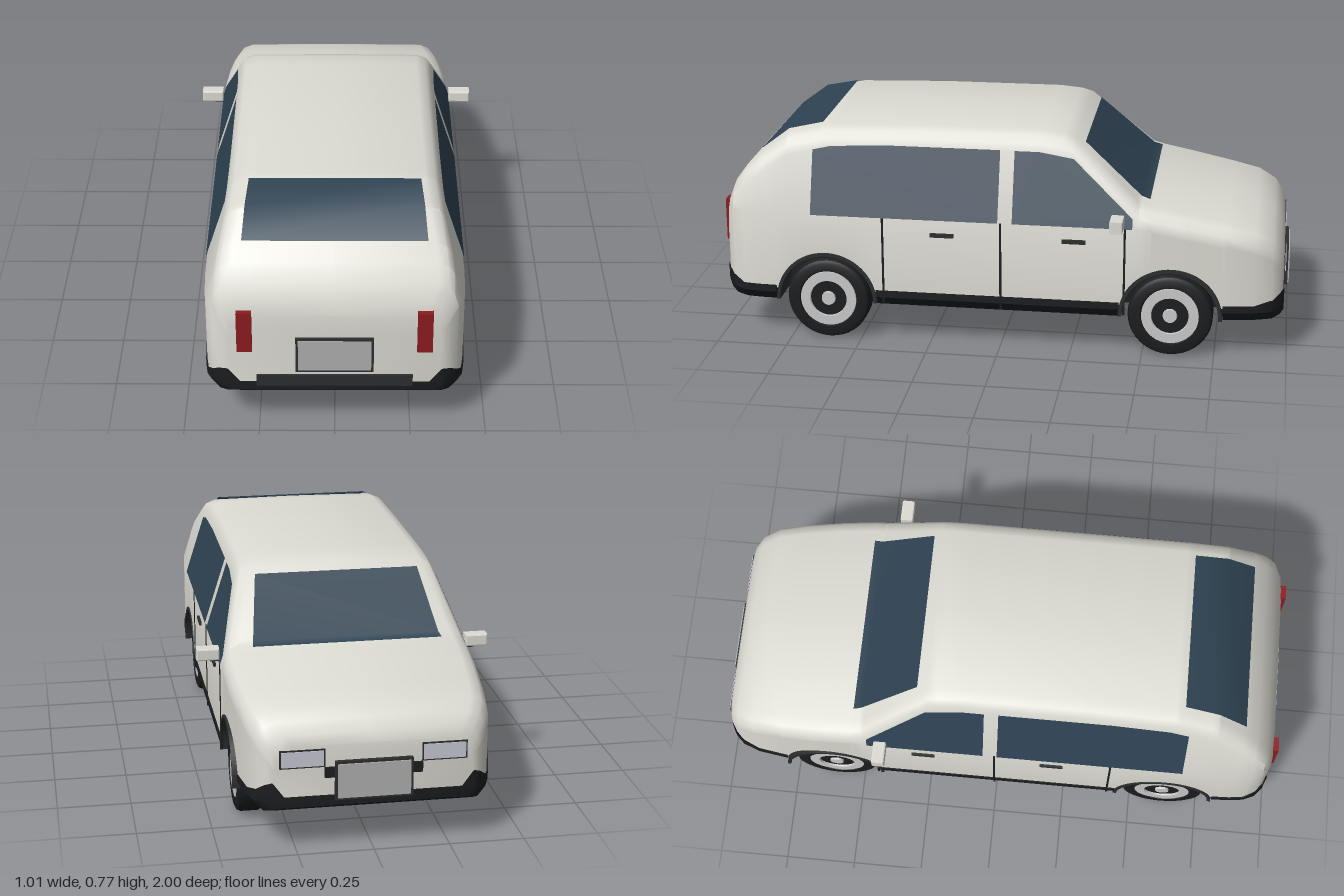
import * as THREE from 'three';
import { toCreasedNormals } from 'three/addons/utils/BufferGeometryUtils.js';

const mat = (color, side = THREE.FrontSide) => new THREE.MeshStandardMaterial({ color, side });
const paint = mat(0xdcdbd3), dark = mat(0x1c1d1f), trim = mat(0x2c2e2f), silver = mat(0xc4c4c6);
const glass = mat(0x2e4252, THREE.DoubleSide), red = mat(0x8e1c1f), plateGrey = mat(0xb0b0b0), lamp = mat(0xc8c8d4);

// Stations along the car: z, half width, bottom y, top y
const STATIONS = [
  [-0.98, 0.325, 0.16, 0.37], [-0.968, 0.35, 0.15, 0.405], [-0.94, 0.375, 0.14, 0.44], [-0.88, 0.398, 0.14, 0.47],
  [-0.78, 0.413, 0.14, 0.49], [-0.64, 0.424, 0.14, 0.517], [-0.52, 0.428, 0.14, 0.54], [-0.48, 0.428, 0.14, 0.552],
  [-0.25, 0.428, 0.14, 0.755], [-0.21, 0.428, 0.14, 0.768], [-0.13, 0.428, 0.14, 0.776], [0.3, 0.428, 0.14, 0.775],
  [0.62, 0.428, 0.14, 0.765], [0.76, 0.428, 0.14, 0.735], [0.86, 0.424, 0.14, 0.66], [0.91, 0.417, 0.14, 0.615],
  [0.95, 0.4, 0.145, 0.56], [0.975, 0.37, 0.155, 0.505], [0.985, 0.345, 0.165, 0.46],
];
const AXLES = [-0.595, 0.615], HUB_Y = 0.15, ARCH = 0.178;

function station(z) {
  let i = 0;
  while (i < STATIONS.length - 2 && z > STATIONS[i + 1][0]) i++;
  const a = STATIONS[i], b = STATIONS[i + 1], t = (z - a[0]) / (b[0] - a[0]);
  return a.map((v, k) => v + (b[k] - v) * t);
}
const archHeight = z => Math.max(0, ...AXLES.map(c => HUB_Y + Math.sqrt(Math.max(0, ARCH ** 2 - (z - c) ** 2))));
const inArch = z => AXLES.some(c => Math.abs(z - c) < ARCH - 0.0005);

// Skin closed mirrored sections (right halves listed bottom to top) and cap both ends
function loft(zs, half) {
  const rings = zs.map(z => {
    const h = half(z);
    return [...h, ...h.slice(1, -1).reverse().map(([x, y]) => [-x, y])].map(([x, y]) => new THREE.Vector3(x, y, z));
  });
  const n = rings[0].length, pos = [];
  const tri = (...p) => p.forEach(v => pos.push(v.x, v.y, v.z));
  for (let i = 0; i < rings.length - 1; i++) {
    for (let j = 0; j < n; j++) {
      const k = (j + 1) % n, a = rings[i], b = rings[i + 1];
      tri(a[j], a[k], b[k]);
      tri(a[j], b[k], b[j]);
    }
  }
  const cap = (ring, flip) => THREE.ShapeUtils.triangulateShape(ring.map(p => new THREE.Vector2(p.x, p.y)), [])
    .forEach(([a, b, c]) => flip ? tri(ring[a], ring[c], ring[b]) : tri(ring[a], ring[b], ring[c]));
  cap(rings[0], true);
  cap(rings[rings.length - 1], false);
  const g = new THREE.BufferGeometry();
  g.setAttribute('position', new THREE.Float32BufferAttribute(pos, 3));
  return toCreasedNormals(g, 0.6);
}

// Painted shell: upright sides, inward leaning windows, rounded roof edge
function shellSection(z) {
  const [, w, , top] = station(z);
  const lo = Math.max(0.19, archHeight(z)), belt = Math.min(0.47, top - 0.08), s = top - 0.07;
  const xs = w - Math.max(0, s - 0.47) * 0.32;
  return [[0, lo], [w, lo], [w, belt], [xs, s], [xs - 0.008, top - 0.042], [xs - 0.026, top - 0.017],
    [xs - 0.06, top - 0.003], [0, top]];
}
// Dark sill and bumpers, rising at the corners and narrowed behind the wheels
function sillSection(z) {
  const [, w, yb] = station(z);
  const x = inArch(z) ? 0.28 : w + 0.004;
  const rise = 0.2 + 0.05 * THREE.MathUtils.clamp((Math.abs(z) - 0.92) / 0.06, 0, 1);
  return [[0, yb], [x * 0.93, yb], [x, Math.min(yb + 0.035, 0.195)], [x, rise], [x * 0.88, 0.196], [0, 0.196]];
}

// Glass strip lying on the centre line of the shell; rows are [z, half width]
function centreGlass(rows, dz) {
  const g = new THREE.PlaneGeometry(1, 1, 1, rows.length - 1);
  rows.forEach(([z, w], i) => [-w, w].forEach((x, k) =>
    g.attributes.position.setXYZ(i * 2 + k, x, station(z)[3] + 0.005, z + dz)));
  g.computeVertexNormals();
  return g;
}
// Leaning side pane from a [z, y] outline
function sideGlass(outline, side) {
  const g = new THREE.ShapeGeometry(new THREE.Shape(outline.map(p => new THREE.Vector2(...p))));
  const p = g.attributes.position;
  for (let i = 0; i < p.count; i++) {
    const z = p.getX(i), y = p.getY(i);
    p.setXYZ(i, side * (0.432 - (y - 0.47) * 0.32), y, z);
  }
  if (side > 0) g.index.array.reverse();
  g.computeVertexNormals();
  return g;
}

function add(parent, name, geometry, material, x = 0, y = 0, z = 0) {
  const m = new THREE.Mesh(geometry, material);
  m.name = name;
  m.position.set(x, y, z);
  parent.add(m);
  return m;
}
const box = (parent, name, material, size, at) => add(parent, name, new THREE.BoxGeometry(...size), material, ...at);

// Lathe turned so that its axis is x; profile points are [radius, x]
const turned = profile => toCreasedNormals(
  new THREE.LatheGeometry(profile.map(p => new THREE.Vector2(...p)), 40).rotateZ(-Math.PI / 2), 0.6);

// Half disc, or half ring when inner > 0, extruded along x
function halfRound(outer, inner, x0, x1) {
  const s = new THREE.Shape();
  s.absarc(0, 0, outer, 0, Math.PI, false);
  if (inner > 0) s.absarc(0, 0, inner, Math.PI, 0, true);
  return new THREE.ExtrudeGeometry(s, { depth: x1 - x0, bevelEnabled: false, curveSegments: 24 })
    .rotateY(Math.PI / 2).translate(x0, 0, 0);
}

function wheel(z, side) {
  const g = new THREE.Group();
  g.name = 'wheel';
  g.position.set(0, HUB_Y, z);
  g.rotation.y = side > 0 ? 0 : Math.PI;
  add(g, 'tyre', turned([[0, 0.318], [0.13, 0.318], [0.142, 0.324], [0.148, 0.335], [0.148, 0.392],
    [0.142, 0.404], [0.13, 0.409], [0.104, 0.409], [0.1, 0.4], [0, 0.4]]), dark);
  add(g, 'rimRing', turned([[0.064, 0.398], [0.1, 0.398], [0.1, 0.407], [0.066, 0.407], [0.064, 0.398]]), silver);
  add(g, 'hubCap', turned([[0.026, 0.398], [0.024, 0.408], [0, 0.408]]), silver);
  add(g, 'archLiner', halfRound(0.18, 0.168, 0.28, 0.432), trim);
  add(g, 'innerWell', halfRound(0.17, 0, 0.27, 0.3), dark);
  return g;
}

export function createModel() {
  const car = new THREE.Group();
  car.name = 'car';

  // Body, with extra stations around the wheel openings
  const zs = STATIONS.map(s => s[0]);
  const archZs = AXLES.flatMap(c => Array.from({ length: 25 }, (_, i) => c - ARCH * Math.cos(i * Math.PI / 24)));
  const edges = AXLES.flatMap(c => [-1, 1].map(s => c + s * (ARCH - 0.001)));
  const sorted = list => [...new Set(list)].sort((a, b) => a - b);
  add(car, 'bodyShell', loft(sorted([...zs, ...archZs]), shellSection), paint);
  const sill = add(car, 'sillAndBumpers', loft(sorted([...zs, ...archZs, ...edges]), sillSection), dark);
  sill.scale.z = 1.004;

  // Glass
  add(car, 'windscreen', centreGlass([[-0.28, 0.285], [-0.48, 0.32], [-0.51, 0.325]], -0.003), glass);
  add(car, 'rearWindow', centreGlass([[0.64, 0.282], [0.76, 0.291], [0.86, 0.3]], 0.003), glass);
  const frontPane = [[-0.045, 0.47], [-0.045, 0.71], [-0.13, 0.71], [-0.25, 0.692], [-0.46, 0.505], [-0.46, 0.47]];
  const rearPane = [[0.005, 0.47], [0.665, 0.47], [0.665, 0.688], [0.6, 0.702], [0.4, 0.711], [0.005, 0.711]];

  for (const side of [-1, 1]) {
    add(car, 'frontSideWindow', sideGlass(frontPane, side), glass);
    add(car, 'rearSideWindow', sideGlass(rearPane, side), glass);
    AXLES.forEach(z => car.add(wheel(z, side)));

    // Doors
    for (const z of [-0.435, -0.005, 0.41]) box(car, 'doorSeam', dark, [0.01, 0.315, 0.007], [side * 0.426, 0.312, z]);
    for (const z of [-0.26, 0.2]) box(car, 'doorHandle', trim, [0.016, 0.014, 0.082], [side * 0.428, 0.416, z]);

    // Mirrors
    box(car, 'mirrorArm', trim, [0.06, 0.012, 0.025], [side * 0.43, 0.479, -0.41]);
    add(car, 'mirror', new THREE.ExtrudeGeometry(
      new THREE.Shape([[-0.034, -0.016], [0.034, -0.016], [0.034, 0.016], [-0.034, 0.016]].map(p => new THREE.Vector2(...p))),
      { depth: 0.036, bevelSize: 0.005, bevelThickness: 0.005, bevelSegments: 2 }), paint, side * 0.468, 0.499, -0.428);

    // Lamps
    box(car, 'tailLight', red, [0.05, 0.15, 0.04], [side * 0.292, 0.4, 0.98]);
    box(car, 'headlightFrame', trim, [0.148, 0.062, 0.02], [side * 0.232, 0.325, -0.973]);
    box(car, 'headlight', lamp, [0.138, 0.052, 0.02], [side * 0.232, 0.325, -0.976]);
  }

  // Bumper trim and plates
  box(car, 'rearStep', trim, [0.51, 0.042, 0.02], [0, 0.204, 0.982]);
  box(car, 'grilleBar', dark, [0.32, 0.035, 0.02], [0, 0.275, -0.978]);
  for (const [end, y] of [[1, 0.307], [-1, 0.247]]) {
    box(car, 'plateFrame', trim, [0.254, 0.132, 0.02], [0, y, end * 0.985]);
    box(car, 'plate', plateGrey, [0.238, 0.116, 0.02], [0, y, end * (end > 0 ? 0.987 : 0.99)]);
  }
  return car;
}
